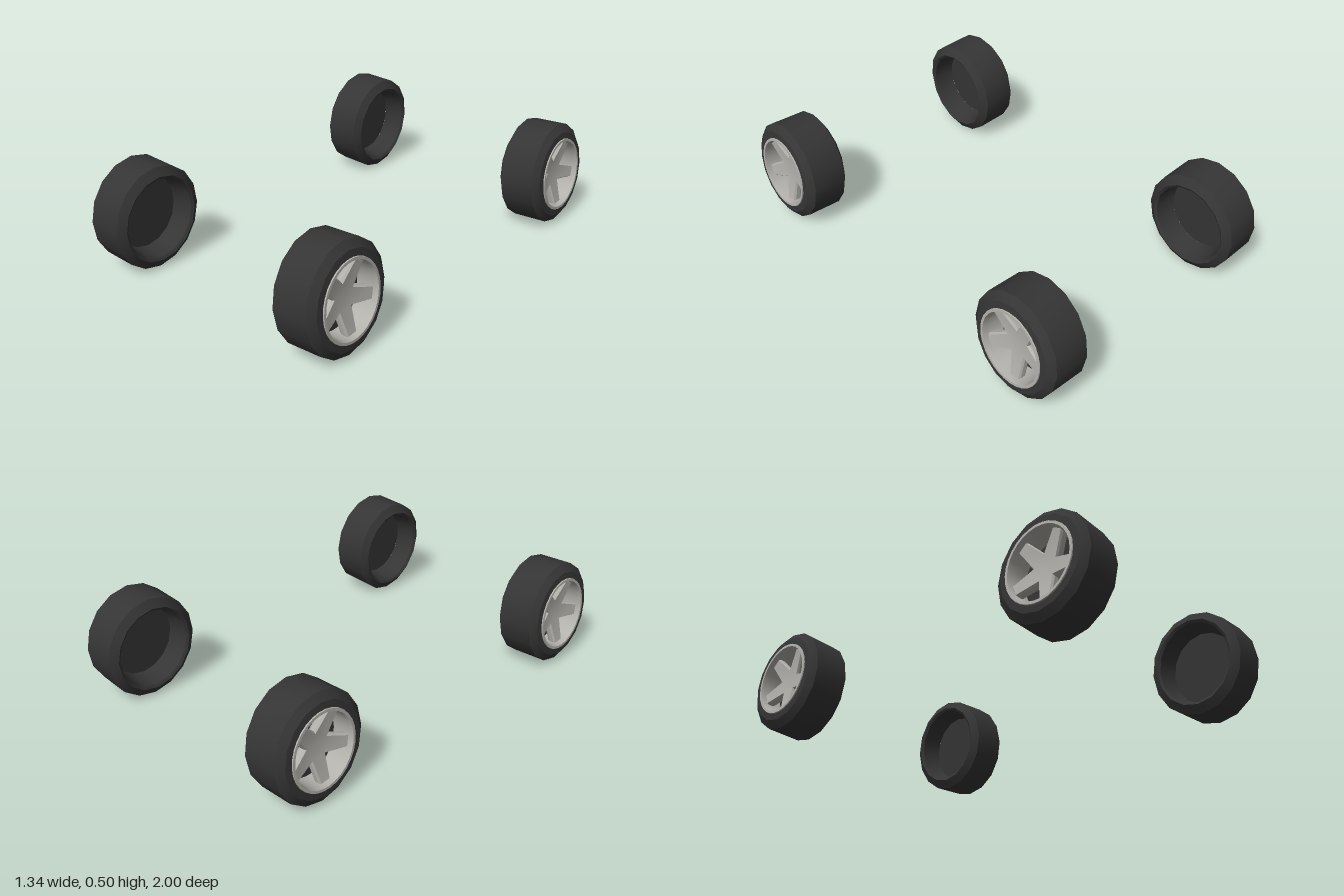
import * as THREE from 'three';
import { toCreasedNormals } from 'three/addons/utils/BufferGeometryUtils.js';

const rubber = new THREE.MeshStandardMaterial({ color: 0x353535 });
rubber.name = 'black rubber';
const alloy = new THREE.MeshStandardMaterial({ color: 0xb2b1ac });
alloy.name = 'grey alloy';

// Turned part with its axis along x (outer side at +x); points are [radius, x]
function turned(points, sides) {
  const profile = points.map(([r, h]) => new THREE.Vector2(r, h));
  return toCreasedNormals(new THREE.LatheGeometry(profile, sides).rotateZ(-Math.PI / 2), 0.5);
}

// Five-armed spoke star, dished towards the hub
function spokeStar() {
  const shape = new THREE.Shape();
  for (let i = 0; i < 5; i++) {
    const a = THREE.MathUtils.degToRad(-84 + 72 * i);
    const corners = [[0.158, -0.15], [0.158, 0.15], [0.06, Math.PI / 5]];
    for (const [r, turn] of corners) {
      const x = r * Math.cos(a + turn), y = r * Math.sin(a + turn);
      if (i === 0 && turn === -0.15) shape.moveTo(x, y);
      else shape.lineTo(x, y);
    }
  }
  shape.closePath();
  const geometry = new THREE.ExtrudeGeometry(shape, {
    depth: 0.02, bevelEnabled: true, bevelSegments: 1, bevelThickness: 0.01, bevelSize: 0.006,
  });
  geometry.rotateY(Math.PI / 2);
  const p = geometry.attributes.position;
  for (let i = 0; i < p.count; i++) {
    const r = Math.hypot(p.getY(i), p.getZ(i));
    p.setX(i, p.getX(i) + 0.03 + 0.2 * r);
  }
  return toCreasedNormals(geometry, 0.3);
}

// Tyre: hollow inner barrel, bevelled shoulders, tread and outer sidewall
const tyreGeometry = turned([
  [0.172, 0.0], [0.192, -0.1], [0.205, -0.108], [0.2445, -0.083],
  [0.2445, 0.083], [0.21, 0.108], [0.176, 0.111],
], 16);

// Rim: raised lip and the barrel leading down to the back plate
const rimGeometry = turned([
  [0.178, 0.108], [0.176, 0.116], [0.164, 0.116], [0.16, 0.1], [0.156, 0.01],
], 30);

const plateGeometry = new THREE.CylinderGeometry(0.175, 0.175, 0.01, 30).rotateZ(-Math.PI / 2);
const starGeometry = spokeStar();

function makeWheel(name) {
  const wheel = new THREE.Group();
  wheel.name = name;
  const add = (part, geometry, material) => {
    const mesh = new THREE.Mesh(geometry, material);
    mesh.name = part;
    wheel.add(mesh);
    return mesh;
  };
  add('tyre', tyreGeometry, rubber);
  add('rim', rimGeometry, alloy);
  add('backPlate', plateGeometry, rubber).position.x = 0.008;
  add('spokes', starGeometry, alloy);
  return wheel;
}

export function createModel() {
  const model = new THREE.Group();
  model.name = 'wheelSet';
  for (const [end, z] of [['front', 0.775], ['rear', -0.775]]) {
    for (const [side, sign] of [['Left', 1], ['Right', -1]]) {
      const wheel = makeWheel(end + side + 'Wheel');
      wheel.scale.z = 0.92;
      // Half turn for the right side, with the tops leaning inwards
      wheel.rotation.set(0, sign > 0 ? 0 : Math.PI, 0.05);
      wheel.position.set(sign * 0.546, 0.249, z);
      model.add(wheel);
    }
  }
  return model;
}
